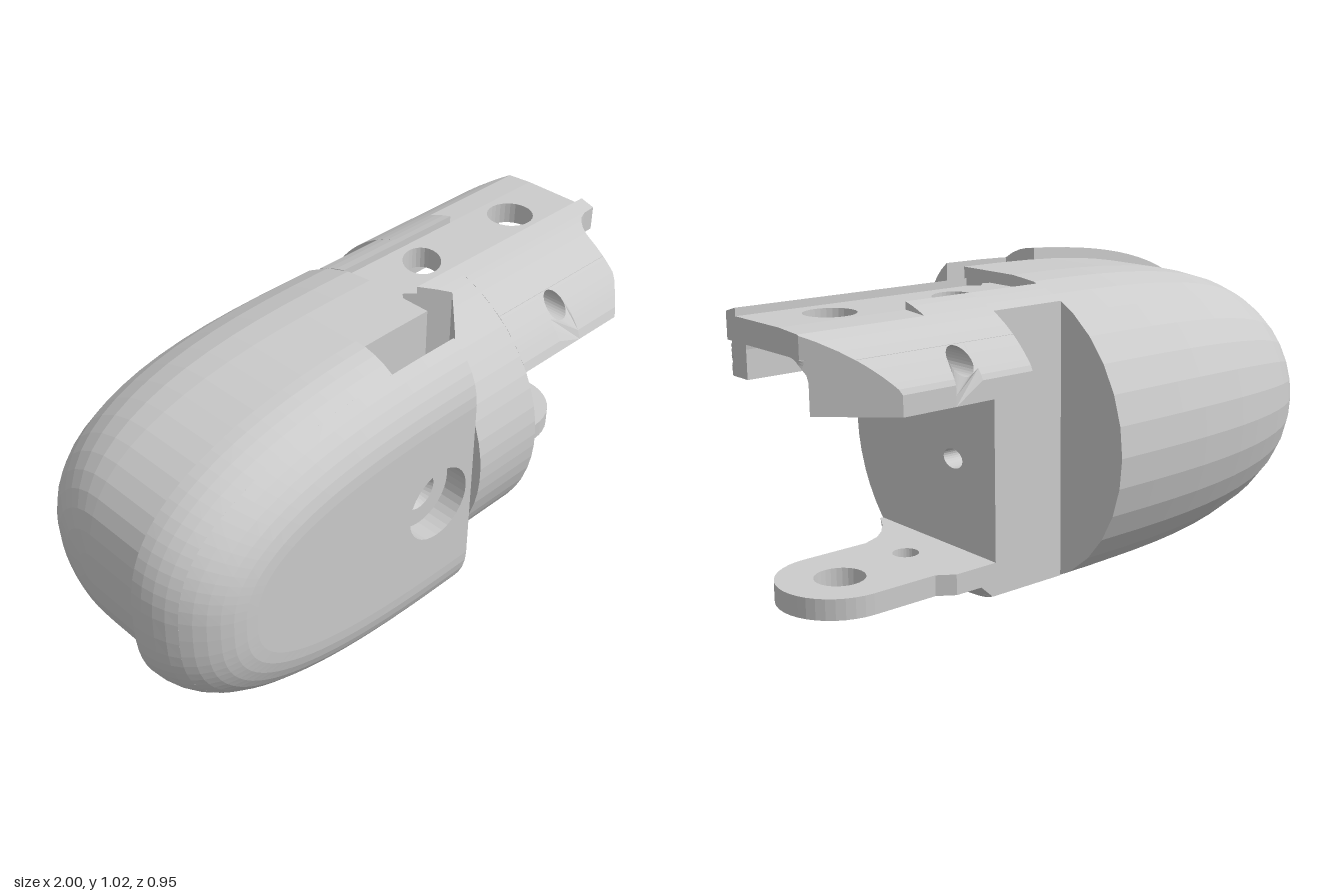
import * as THREE from 'three';

const MID = 0.511, R = 0.475;
const mat = new THREE.MeshStandardMaterial({ color: 0xcccccc, flatShading: true, side: THREE.DoubleSide });
const root0 = (v) => Math.sqrt(Math.max(0, v));
const arc = (d) => root0(R * R - d * d);
const range = (n, f) => Array.from({ length: n + 1 }, (_, i) => f(i / n));

// Solid through matching counter-clockwise sections { pts: [[x, y]...], h: z }
function loft(secs, topCap = true) {
  const n = secs[0].pts.length, pos = [], idx = [];
  secs.forEach(s => s.pts.forEach(p => pos.push(p[0], p[1], s.h)));
  for (let k = 0; k < secs.length - 1; k++) {
    for (let i = 0; i < n; i++) {
      const a = k * n + i, b = k * n + (i + 1) % n;
      idx.push(a, b, b + n, a, b + n, a + n);
    }
  }
  const cap = (s) => THREE.ShapeUtils.triangulateShape(s.pts.map(p => new THREE.Vector2(...p)), []);
  cap(secs[0]).forEach(t => idx.push(t[0], t[2], t[1]));
  const o = (secs.length - 1) * n;
  if (topCap) cap(secs[secs.length - 1]).forEach(t => idx.push(t[0] + o, t[1] + o, t[2] + o));
  const g = new THREE.BufferGeometry();
  g.setAttribute('position', new THREE.Float32BufferAttribute(pos, 3));
  g.setIndex(idx);
  g.computeVertexNormals();
  return g;
}

// Shape from points with elliptical holes [x, y, rx, ry, turn]
function holed(pts, holes = []) {
  const s = new THREE.Shape(pts.map(p => new THREE.Vector2(...p)));
  for (const [x, y, rx, ry = rx, turn = 0] of holes)
    s.holes.push(new THREE.Path().absellipse(x, y, rx, ry, 0, Math.PI * 2, true, turn));
  return s;
}
const extrude = (shape, depth) => new THREE.ExtrudeGeometry(shape, { depth, bevelEnabled: false, curveSegments: 14 });

// Horizontal plate; points and holes are given as x, -z
const plate = (pts, holes, y0, y1) => extrude(holed(pts, holes), y1 - y0).rotateX(-Math.PI / 2).translate(0, y0, 0);

// Plan outline of the free end of the upper arm
function armEnd(z) {
  if (z < -0.2) return 1 + (z + 0.2) * 1.05;
  if (z < 0.16) return 1;
  if (z < 0.24) return 0.885 + 0.08 * (1 - root0(1 - ((0.24 - z) / 0.08) ** 2));
  return z < 0.35 ? 0.885 : 0.885 - (z - 0.35);
}

// Rounded outline of the side cover, inset by d; optionally with the upper corner cut away
function coverOutline(d, notched) {
  const n = 2.7, a = 1.08 - d, b = 0.511 - d;
  const t0 = notched ? Math.asin((0.25 / a) ** (n / 2)) : 0;
  const pts = range(48, t => {
    const q = t0 + (Math.PI - t0) * t, c = Math.cos(q);
    return [0.08 - a * Math.abs(Math.sin(q)) ** (2 / n), MID + b * Math.sign(c) * Math.abs(c) ** (2 / n)];
  });
  return notched ? [[0.08, 0.74], [-0.17, 0.74], ...pts] : pts;
}

export function createModel() {
  const root = new THREE.Group();
  const add = (name, geo, parent = root) => {
    const m = new THREE.Mesh(geo, mat);
    m.name = name;
    parent.add(m);
  };
  const group = (name) => {
    const g = new THREE.Group();
    g.name = name;
    root.add(g);
    return g;
  };

  // Bullet shaped body: half round at the back, straight sided towards the cover
  add('body', loft(range(16, t => {
    const u = Math.max(0, Math.cos(0.04 + (Math.PI / 2 - 0.04) * t)) ** 0.85;
    const r = R * (1 - u ** 2.9) ** (1 / 2.9);
    const pts = range(16, s => {
      const q = (s - 0.5) * Math.PI;
      return [r * Math.cos(q), MID + r * Math.sin(q)];
    });
    return { pts: [...pts, [-0.235, MID + r], [-0.235, MID - r]], h: 0.12 - 1.08 * u };
  })).rotateY(Math.PI / 2));

  // Side cover with rounded rim, corner notch and counterbored hole
  const cover = group('sideCover');
  const rim = (f0, f1, n, notched) => range(n, t => {
    const f = f0 + (f1 - f0) * t;
    return { pts: coverOutline(0.23 * (1 - Math.cos(f)), notched), h: 0.235 + 0.24 * Math.sin(f) };
  });
  const fMid = Math.asin(0.14 / 0.24);
  add('coverBase', loft(rim(0, fMid, 4, true)), cover);
  add('coverRim', loft(rim(fMid, Math.PI / 2, 6, false), false), cover);
  add('coverFace', new THREE.ShapeGeometry(holed(coverOutline(0.23, false), [[-0.065, MID, 0.12]]), 16)
    .translate(0, 0, 0.475), cover);
  const bore = (r0, r1, z0, z1) => new THREE.CylinderGeometry(r1, r0, z1 - z0, 32, 1, true)
    .rotateX(Math.PI / 2).translate(-0.065, MID, (z0 + z1) / 2);
  add('counterbore', bore(0.12, 0.12, 0.40, 0.475), cover);
  add('screwHole', bore(0.048, 0.06, 0.376, 0.40), cover);
  add('counterboreFloor', new THREE.RingGeometry(0.06, 0.12, 32).translate(-0.065, MID, 0.40), cover);

  // Collar: round slice with a vertical V notch and a chamfered lower edge
  const collar = group('collar');
  const notchX = (z) => {
    if (z <= 0.03 || z >= 0.36) return 0.12;
    return z < 0.18 ? 0.12 + (z - 0.03) * 1.133 : 0.12 + (0.36 - z) * 0.944;
  };
  const collarSec = (z) => {
    const b = MID - arc(z), x0 = notchX(z);
    return { pts: [[x0, b], [Math.min(0.375, 0.3 + b), b], [0.375, Math.max(b, 0.075)],
      [0.375, MID + arc(z)], [x0, MID + arc(z)]], h: z };
  };
  add('collarFront', loft([0.11, 0.15, 0.18, 0.22, 0.27, 0.32, 0.36, 0.39, 0.42, 0.44, 0.46, 0.47, 0.4745].map(collarSec)), collar);
  add('collarRear', loft([-0.215, -0.18, -0.145, -0.11].map(collarSec)), collar);
  add('collarCentre', loft([-0.11, -0.05, 0, 0.03, 0.07, 0.11].map(z => {
    const b = MID - arc(z), x0 = notchX(z);
    return { pts: [[x0, b], [0.3 + b, b], [0.375, 0.075], [0.375, 0.19], [0.3, 0.19], [0.3, 0.88], [x0, 0.88]], h: z };
  })), collar);
  add('collarCablePlate', extrude(holed([[-0.11, 0.19], [0.11, 0.19], [0.11, 0.88], [-0.11, 0.88]],
    [[0.02, 0.465, 0.045, 0.03]]), 0.075).rotateY(Math.PI / 2).translate(0.3, 0, 0), collar);
  add('collarStop', plate([[0.11, -0.10], [0.14, -0.12], [0.18, -0.08], [0.11, -0.03]], [], 0.055, 0.95), collar);
  add('collarWedge', loft([-0.215, -0.15, -0.08, 0, 0.08, 0.15, 0.215, 0.278].map(z => {
    const b = Math.min(0.126, Math.max(MID - arc(z), 0.075));
    return { pts: [[0.375, b], [0.3 + b, b], [0.43, 0.127], [0.375, 0.127]], h: z };
  })), collar);

  // Upper arm: flat centre strip with hinge hole and cable hole
  const arm = group('upperArm');
  add('armCentre', plate([[0.12, -0.03], [0.211, -0.11], [1, -0.11], [1, 0.11], [0.12, 0.11]],
    [[0.78, 0.01, 0.075], [0.36, 0.01, 0.08, 0.06, 0.8]], 0.88, 0.95), arm);
  const slab = (zs, y0, endX, top) => loft(zs.map(z => {
    const e = endX(z), y = top(z);
    return { pts: [[0.375, y0], [e, y0], [e, y], [0.375, y]], h: z };
  }));
  const round = (z) => MID + arc(z);
  add('armFrontShoulder', slab([0.11, 0.159, 0.161, 0.17, 0.18, 0.2, 0.22, 0.24, 0.27, 0.298], 0.88, armEnd, round), arm);
  add('armRearShoulder', slab([-0.298, -0.27, -0.23, -0.2, -0.195, -0.11], 0.88, armEnd, z => Math.min(0.95, round(z))), arm);
  add('armRaisedEdge', slab([-0.195, -0.17, -0.14, -0.11], 0.94, () => 0.6, round), arm);

  // Arm side walls: rounded channel corner inside, outer face on the circle, cross hole in the middle
  const rows = [0.732, 0.76, 0.79, 0.805, 0.82, 0.84, 0.855, 0.865, 0.873, 0.877, 0.88];
  for (const side of [1, -1]) {
    const name = side > 0 ? 'armFrontWall' : 'armRearWall';
    const inner = (y) => (side > 0 ? 0.205 : 0.155) + root0(0.0036 - Math.max(0, y - 0.82) ** 2);
    const outer = (y) => Math.min(side > 0 ? 0.415 : 0.38, arc(y - MID));
    const block = (x0, endX) => loft(rows.map(y => {
      const zs = [side * outer(y), side * inner(y)].sort((a, b) => b - a);
      const tip = range(10, t => {
        const z = zs[0] + (zs[1] - zs[0]) * t;
        return [endX(z), -z];
      });
      return { pts: [[x0, -zs[0]], ...tip, [x0, -zs[1]]], h: y };
    })).rotateX(-Math.PI / 2);
    add(name + 'Root', block(0.375, () => 0.55), arm);
    add(name + 'Tip', block(0.64, armEnd), arm);
    const outline = [...rows.map(y => [0.64, y]), ...rows.map(y => [0.55, y]).reverse()];
    const g = extrude(holed(outline, [[0.595, 0.842, 0.037]]), 1);
    const p = g.attributes.position;
    for (let i = 0; i < p.count; i++) {
      const far = p.getZ(i) > 0.5;
      p.setZ(i, side * ((side > 0) === far ? outer : inner)(p.getY(i)));
    }
    g.computeVertexNormals();
    add(name + 'Hole', g, arm);
  }

  // Lower hinge lug with rounded end, flaring out to the collar's circle
  const end = range(20, t => {
    const q = (t - 0.5) * Math.PI;
    return [0.78 + 0.18 * Math.cos(q), 0.18 * Math.sin(q)];
  });
  const lug = plate([[0.37, -0.35], [0.385, -0.35], [0.42, -0.29], [0.46, -0.24], [0.5, -0.205], [0.56, -0.18], ...end,
    [0.57, 0.18], [0.52, 0.215], [0.37, 0.215]], [[0.78, 0.01, 0.075], [0.52, -0.03, 0.04]], 0.127, 0.19);
  const lp = lug.attributes.position;
  for (let i = 0; i < lp.count; i++) lp.setZ(i, Math.min(lp.getZ(i), arc(lp.getY(i) - MID)));
  lug.computeVertexNormals();
  add('lowerLug', lug);

  return root;
}
